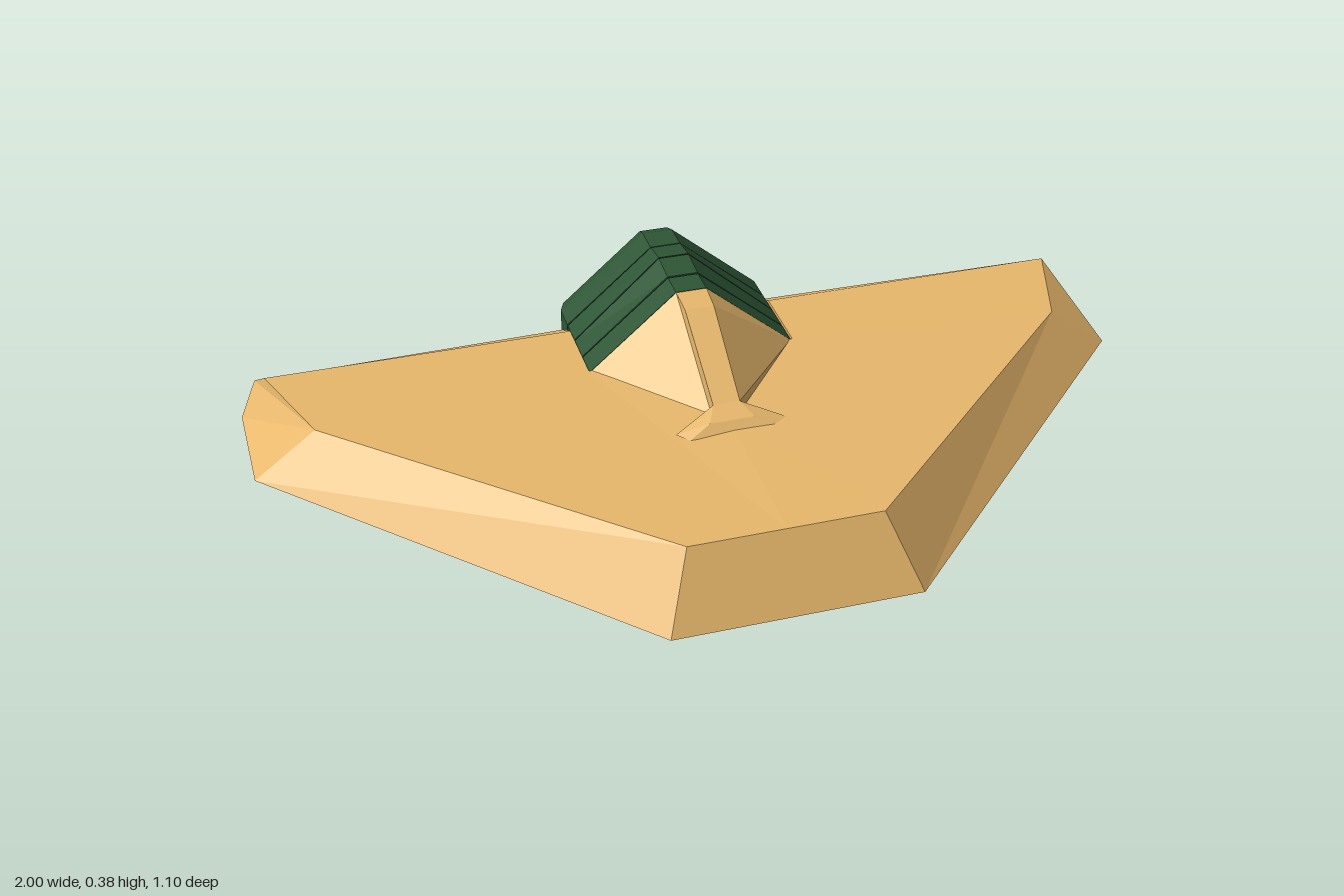
import * as THREE from 'three';

const tan = new THREE.MeshStandardMaterial({ color: 0xe8b86c, flatShading: true, side: THREE.DoubleSide });
const green = new THREE.MeshStandardMaterial({ color: 0x2d5535, flatShading: true, side: THREE.DoubleSide });

// Flat-shaded mesh from convex polygons, split into triangle fans
function polyMesh(name, polygons, material) {
  const pos = [];
  for (const p of polygons)
    for (let i = 1; i < p.length - 1; i++) pos.push(...p[0], ...p[i], ...p[i + 1]);
  const geo = new THREE.BufferGeometry();
  geo.setAttribute('position', new THREE.Float32BufferAttribute(pos, 3));
  geo.computeVertexNormals();
  const mesh = new THREE.Mesh(geo, material);
  mesh.name = name;
  return mesh;
}

// Adds the x-mirrored copy of each polygon, with its winding reversed
const mirrored = (polys) => [
  ...polys,
  ...polys.map((p) => p.map(([x, y, z]) => [-x, y, z]).reverse()),
];
const mid = ([, y, z]) => [0, y, z];

function hull() {
  // deck
  const crown = [0, 0.213, 0.02], nose = [0.21, 0.205, 0.46], shoulder = [0.86, 0.205, -0.17];
  const deckTip = [0.94, 0.205, -0.41], deckRear = [0.24, 0.205, -0.41], notch = [0.24, 0.205, -0.23];
  // rim
  const chin = [0.27, 0.05, 0.55], tipFront = [1, 0.1, -0.17], tipRear = [1, 0.105, -0.42];
  const tipTop = [0.96, 0.175, -0.455], rearTop = [0.24, 0.15, -0.51], rearLow = [0.24, 0.065, -0.51];
  // belly
  const bellyTop = [0.24, 0.065, -0.23], bellySide = [0.235, 0.02, -0.23], bellyLow = [0.15, 0.003, -0.23];
  return polyMesh('hull', mirrored([
    [crown, mid(nose), nose, shoulder, notch],
    [crown, notch, mid(notch)],
    [notch, shoulder, deckTip, deckRear],
    [mid(chin), chin, nose, mid(nose)],
    [chin, tipFront, shoulder, nose],
    [tipFront, tipRear, tipTop, deckTip, shoulder],
    [deckTip, tipTop, rearTop, deckRear],
    [tipTop, tipRear, rearLow, rearTop],
    [chin, bellyTop, rearLow, tipRear, tipFront],
    [notch, deckRear, rearTop, rearLow, bellyTop],
    [chin, bellySide, bellyTop],
    [chin, bellyLow, bellySide],
    [mid(chin), mid(bellyLow), bellyLow, chin],
  ]), tan);
}

function fairing() {
  const back = [0.035, 0.373, -0.23], crest = [0.033, 0.365, -0.165], neck = [0.03, 0.243, 0.04];
  const baseBack = [0.235, 0.203, -0.23], baseFront = [0.03, 0.203, 0.04];
  return polyMesh('fairing', mirrored([
    [baseBack, back, crest, neck, baseFront],
    [crest, back, mid(back), mid(crest)],
    [neck, crest, mid(crest), mid(neck)],
  ]), tan);
}

function fairingFoot() {
  const neck = [0.03, 0.243, 0.04], base = [0.03, 0.203, 0.04];
  const brow = [0.05, 0.228, 0.085], wing = [0.125, 0.21, 0.08], toe = [0.1, 0.207, 0.105];
  return polyMesh('fairingFoot', mirrored([
    [neck, mid(neck), mid(brow), brow],
    [neck, brow, wing],
    [neck, wing, base],
    [mid(brow), mid(toe), toe, brow],
    [brow, toe, wing],
  ]), tan);
}

// Eight-sided engine section, scaled about its centre
function ring(z, top = 0.373, low = 0.06, s = 1) {
  const right = [[0.15, 0.003], [0.238, low], [0.238, 0.2], [0.035, top]];
  const left = right.map(([x, y]) => [-x, y]).reverse();
  return [...right, ...left].map(([x, y]) => [x * s, 0.17 + (y - 0.17) * s, z]);
}

// Closed loft through rings running from front to back
function loft(name, rings, material) {
  const polys = [rings[0], [...rings.at(-1)].reverse()];
  for (let i = 0; i < rings.length - 1; i++)
    rings[i].forEach((p, j, a) => {
      const b = rings[i + 1], k = (j + 1) % a.length;
      polys.push([p, b[j], b[k], a[k]]);
    });
  return polyMesh(name, polys, material);
}

export function createModel() {
  const model = new THREE.Group();
  model.name = 'spacecraft';
  model.add(hull(), fairing(), fairingFoot());

  // engine: four slices with hairline gaps, the last with a recessed end panel
  const engine = new THREE.Group();
  engine.name = 'engine';
  engine.add(
    loft('engineSlice1', [ring(-0.232, 0.373, 0.02), ring(-0.298)], green),
    loft('engineSlice2', [ring(-0.302, 0.374), ring(-0.373, 0.383)], green),
    loft('engineSlice3', [ring(-0.377, 0.383), ring(-0.443, 0.374)], green),
    loft('engineSlice4', [
      ring(-0.447), ring(-0.515), ring(-0.55, 0.373, 0.06, 0.94),
      ring(-0.55, 0.373, 0.06, 0.76), ring(-0.53, 0.373, 0.06, 0.7),
    ], green),
  );
  model.add(engine);
  return model;
}
